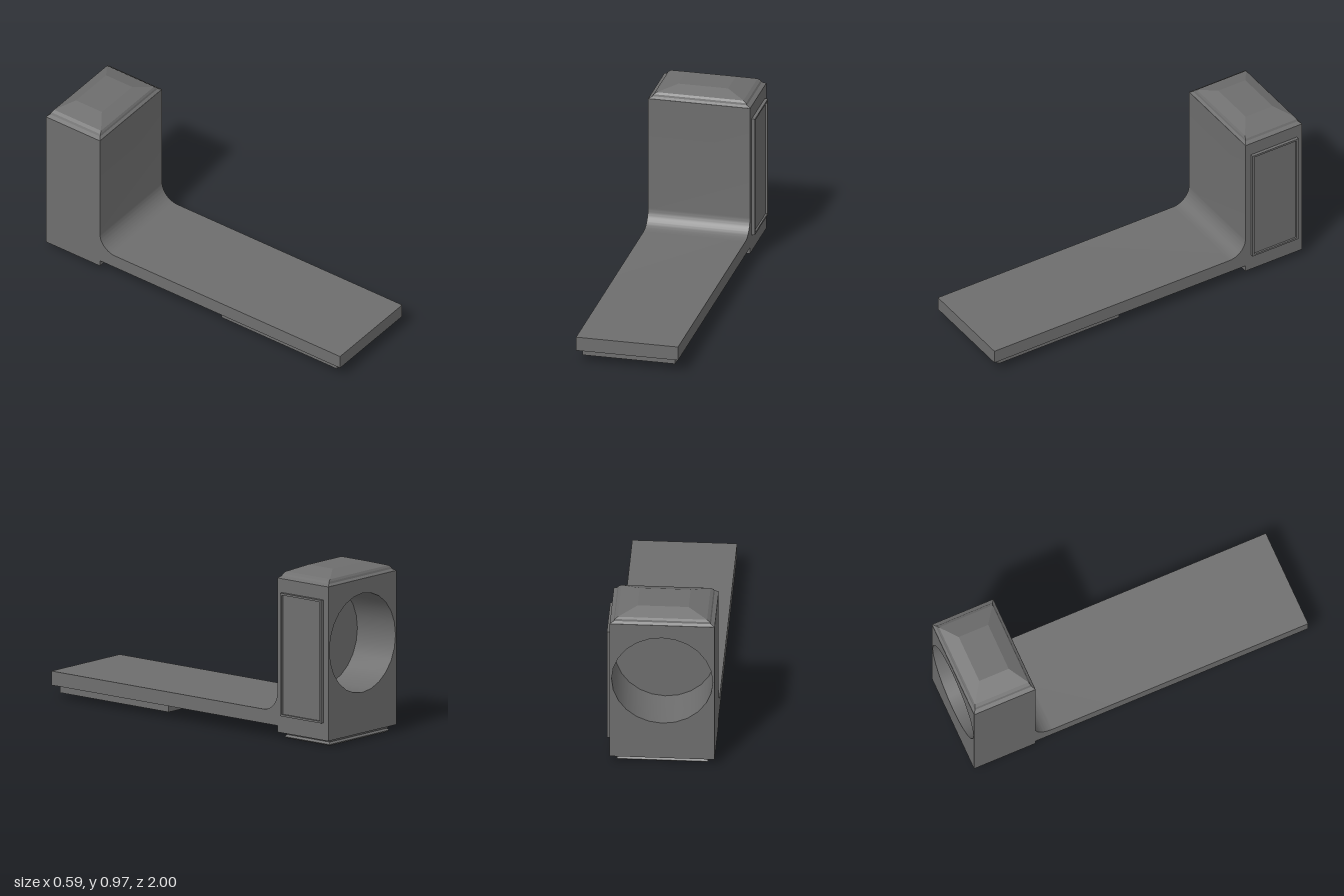
import * as THREE from 'three';
import { toCreasedNormals } from 'three/addons/utils/BufferGeometryUtils.js';

const material = new THREE.MeshStandardMaterial({ color: 0x6e6e6e });
const LEFT = -0.297, RIGHT = 0.279;   // sides of the body
const CX = (LEFT + RIGHT) / 2;
const BOTTOM = 0.038, TOP = 0.902;    // upright without cap and foot
const FRONT = -0.632, BACK = -1, HOLE_FLOOR = -0.725;
const MID_Z = (FRONT + BACK) / 2;

function rect(PathType, x0, y0, x1, y1) {
  return new PathType([[x0, y0], [x1, y0], [x1, y1], [x0, y1]].map(p => new THREE.Vector2(...p)));
}

function extrude(shape, depth) {
  const geometry = new THREE.ExtrudeGeometry(shape, { depth, bevelEnabled: false, curveSegments: 12 });
  return toCreasedNormals(geometry, 0.5);
}

// Rectangular frame around the origin, extruded along +z
function frame(width, height, rim, depth) {
  const w = width / 2, h = height / 2;
  const shape = rect(THREE.Shape, -w, -h, w, h);
  shape.holes.push(rect(THREE.Path, rim - w, rim - h, w - rim, h - rim));
  return extrude(shape, depth);
}

// Stack of rectangles [y, halfWidth, halfDepth] from bottom to top, closed at both ends
function stackedRects(levels) {
  const positions = [], index = [];
  for (const [y, w, d] of levels) positions.push(-w, y, d, w, y, d, w, y, -d, -w, y, -d);
  for (let i = 0; i < levels.length - 1; i++) {
    for (let j = 0; j < 4; j++) {
      const a = i * 4 + j, b = i * 4 + (j + 1) % 4;
      index.push(a, b, b + 4, a, b + 4, a + 4);
    }
  }
  const t = (levels.length - 1) * 4;
  index.push(0, 2, 1, 0, 3, 2, t, t + 1, t + 2, t, t + 2, t + 3);
  const geometry = new THREE.BufferGeometry();
  geometry.setAttribute('position', new THREE.Float32BufferAttribute(positions, 3));
  geometry.setIndex(index);
  const flat = geometry.toNonIndexed();
  flat.computeVertexNormals();
  return flat;
}

export function createModel() {
  const group = new THREE.Group();
  const add = (name, geometry, x = 0, y = 0, z = 0) => {
    const mesh = new THREE.Mesh(geometry, material);
    mesh.name = name;
    mesh.position.set(x, y, z);
    group.add(mesh);
  };

  // Long tongue, fillet and front wall of the upright, as a side profile (-z, y)
  const r = 0.105, under = 0.074, over = 0.153;
  const profile = new THREE.Shape();
  profile.moveTo(-1, under);
  profile.lineTo(-FRONT, under);
  profile.lineTo(-FRONT, BOTTOM);
  profile.lineTo(-HOLE_FLOOR, BOTTOM);
  profile.lineTo(-HOLE_FLOOR, TOP);
  profile.lineTo(-FRONT, TOP);
  profile.lineTo(-FRONT, over + r);
  profile.absarc(-FRONT - r, over + r, r, 0, -Math.PI / 2, true);
  profile.lineTo(-1, over);
  profile.closePath();
  add('tongueAndFrontWall', extrude(profile, RIGHT - LEFT).rotateY(Math.PI / 2), LEFT);

  // Rear block with the round socket
  const block = rect(THREE.Shape, LEFT, BOTTOM, RIGHT, TOP);
  const socket = new THREE.Path();
  socket.absarc(CX, 0.543, 0.278, 0, Math.PI * 2, true);
  block.holes.push(socket);
  add('socketBlock', extrude(block, HOLE_FLOOR - BACK), 0, 0, BACK);

  // Stepped cap with sloping sides
  add('topCap', stackedRects([
    [TOP, 0.287, 0.183], [0.913, 0.267, 0.17], [0.924, 0.261, 0.167],
    [0.935, 0.245, 0.16], [0.967, 0.14, 0.088],
  ]), CX, 0, MID_Z);

  // Moulded foot under the upright
  add('foot', stackedRects([
    [0, 0.239, 0.152], [0.01, 0.253, 0.162], [0.021, 0.241, 0.154],
    [0.031, 0.248, 0.162], [BOTTOM, 0.253, 0.164],
  ]), CX, 0, MID_Z);

  // Framed panel on one side of the upright
  add('sidePanelFrame', frame(0.297, 0.69, 0.011, 0.018).rotateY(Math.PI / 2), RIGHT, 0.48, MID_Z);
  add('sidePanel', new THREE.BoxGeometry(0.008, 0.668, 0.275), RIGHT + 0.004, 0.48, MID_Z);

  // Open frame and thin backing plate under the tongue
  add('undersideFrame', frame(0.524, 0.784, 0.012, 0.041).rotateX(Math.PI / 2), CX, under, 0.567);
  add('undersidePlate', new THREE.BoxGeometry(0.524, 0.003, 0.82), CX, under - 0.0015, 0.549);

  return group;
}
